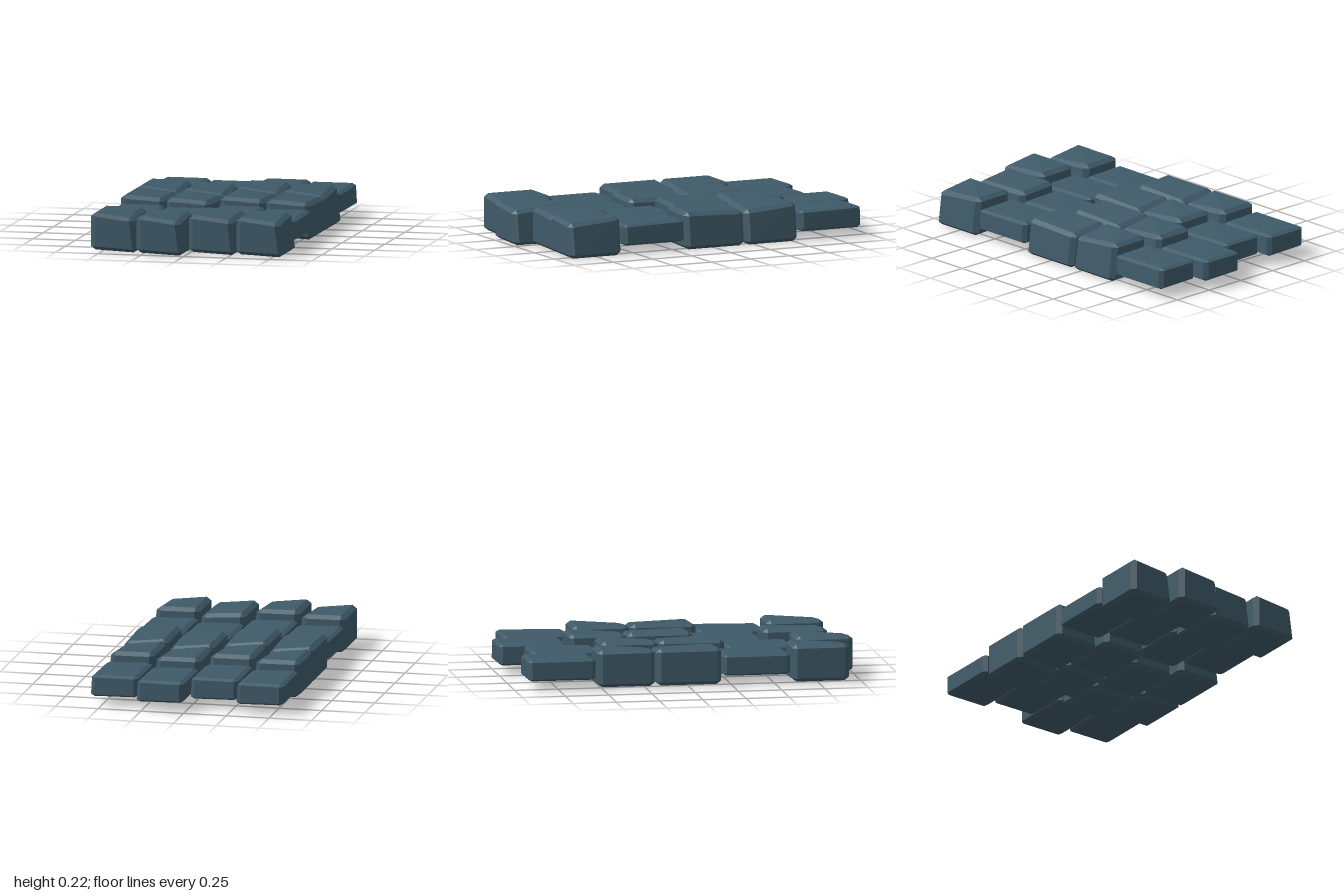
import * as THREE from 'three';
import { ConvexGeometry } from 'three/addons/geometries/ConvexGeometry.js';

// Three stone cuts: height range, chamfers, and how the corners are worn.
// lean: top of +x side pulled in; dipFront/dipBack: top drop at the +x corners;
// skew: rise of the underside on the -x side.
const CUTS = {
  slab: { y0: 0.055, y1: 0.18, edge: 0.012, corner: 0.022, lean: 0.006, dipFront: 0.006, dipBack: 0, skew: 0.004 },
  block: { y0: 0.003, y1: 0.226, edge: 0.02, corner: 0.027, lean: 0.022, dipFront: 0.024, dipBack: 0.002, skew: 0.01 },
  keystone: { y0: 0.003, y1: 0.226, edge: 0.02, corner: 0.027, lean: 0.02, dipFront: 0.012, dipBack: 0.022, skew: 0.01 },
};

// Chamfered, slightly uneven stone: three points per corner, wrapped in a hull
function stoneGeometry(cut, width, length, flip) {
  const points = [];
  const { edge, corner } = cut;
  for (const sx of [-1, 1]) for (const sy of [-1, 1]) for (const sz of [-1, 1]) {
    let x = sx * width / 2;
    let y = sy > 0 ? cut.y1 : cut.y0;
    const z = sz * length / 2;
    if (sx > 0 && sy > 0) {
      x -= cut.lean;
      y -= (flip ? -sz : sz) > 0 ? cut.dipFront : cut.dipBack;
    }
    if (sx < 0 && sy < 0) y += cut.skew;
    points.push(
      new THREE.Vector3(x, y - sy * edge, z - sz * corner),
      new THREE.Vector3(x - sx * corner, y - sy * edge, z),
      new THREE.Vector3(x - sx * corner, y, z - sz * corner),
    );
  }
  return new ConvexGeometry(points);
}

export function createModel() {
  const model = new THREE.Group();
  model.name = 'pavingStones';
  const slate = new THREE.MeshStandardMaterial({ color: 0x3f5a68 });
  slate.name = 'slate blue';
  slate.flatShading = true;

  // Each column runs back to front as pairs of z limits
  const outer = [[-0.93, -0.54], [-0.528, -0.197], [-0.19, 0.187], [0.195, 0.584], [0.596, 0.926]];
  const columns = [
    { x: -0.427, rows: outer },
    { x: -0.143, rows: [[-0.863, -0.473], [-0.46, -0.13], [-0.124, 0.254], [0.262, 0.652], [0.665, 0.995]] },
    { x: 0.141, rows: [[-1, -0.61], [-0.596, -0.265], [-0.257, 0.12], [0.127, 0.516], [0.526, 0.898]], flipLast: true },
    { x: 0.425, rows: outer },
  ];
  const order = ['slab', 'block', 'keystone', 'slab', 'block'];

  columns.forEach(({ x, rows, flipLast }, c) => {
    const column = new THREE.Group();
    column.name = `stoneColumn${c + 1}`;
    rows.forEach(([back, front], r) => {
      const flip = flipLast && r === 4;
      const cut = CUTS[flip ? 'keystone' : order[r]];
      const stone = new THREE.Mesh(stoneGeometry(cut, 0.276, front - back, flip), slate);
      stone.name = `stone${r + 1}`;
      stone.position.set(x, 0, (back + front) / 2);
      column.add(stone);
    });
    model.add(column);
  });
  return model;
}
